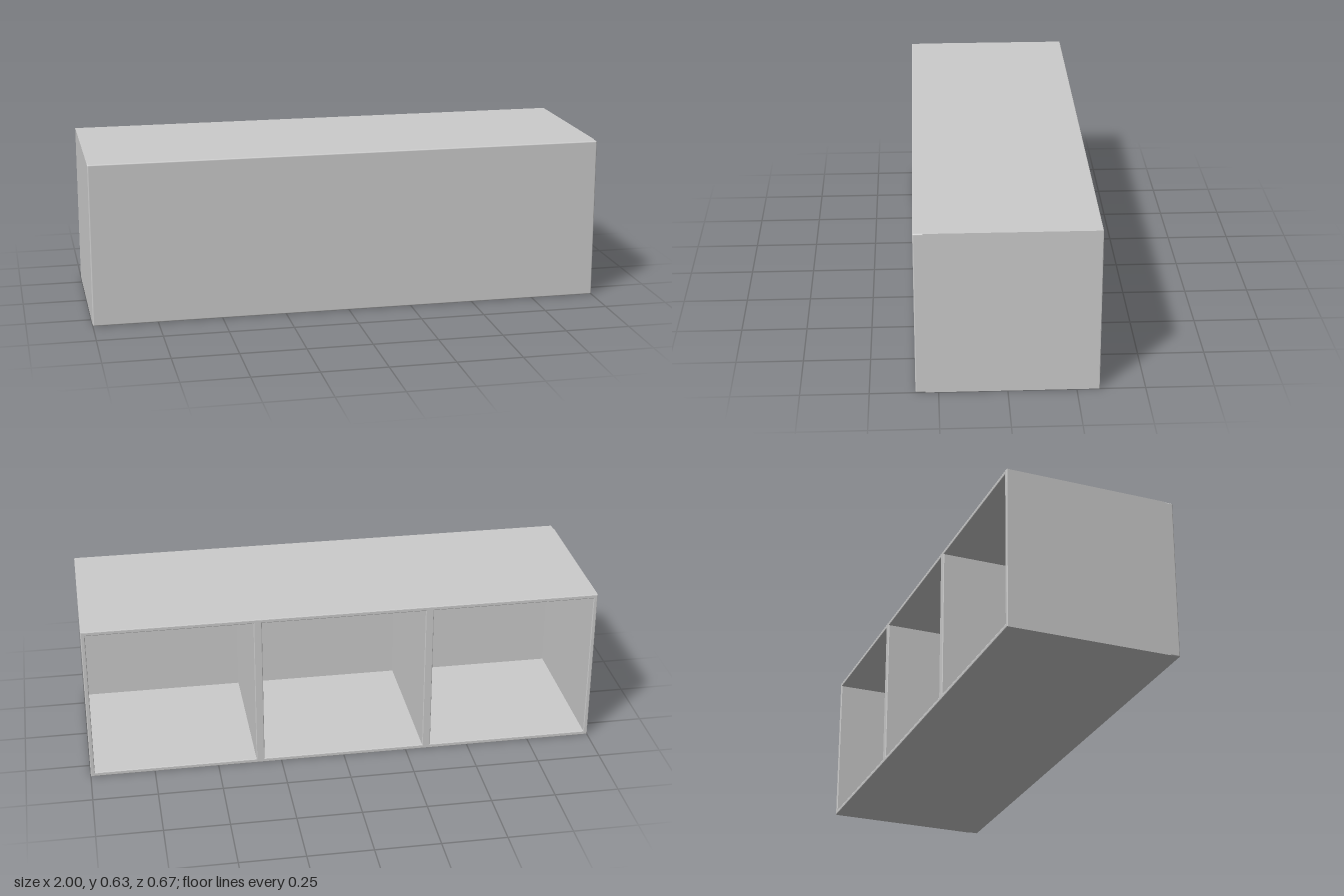
import * as THREE from 'three';
import { RoundedBoxGeometry } from 'three/addons/geometries/RoundedBoxGeometry.js';

const W = 2, H = 0.632, D = 0.667;   // overall size
const WALL = 0.016, PANEL = 0.044;   // board thicknesses
const BAYS = 3, EDGE = 0.005;        // compartments, edge rounding

const material = new THREE.MeshStandardMaterial({ color: 0xcccccc });

// Adds a rectangle to a shape or path
function rect(path, x0, y0, x1, y1) {
  path.moveTo(x0, y0);
  path.lineTo(x1, y0);
  path.lineTo(x1, y1);
  path.lineTo(x0, y1);
  path.closePath();
  return path;
}

export function createModel() {
  const group = new THREE.Group();
  group.name = 'cubbyCabinet';

  // Carcass: top, bottom, sides and double-thick dividers, open at the back
  const outline = rect(new THREE.Shape(), -W / 2, 0, W / 2, H);
  const bay = W / BAYS;
  for (let i = 0; i < BAYS; i++) {
    const x = -W / 2 + i * bay;
    outline.holes.push(rect(new THREE.Path(), x + WALL, WALL, x + bay - WALL, H - WALL));
  }
  const depth = D - PANEL + 2 * EDGE; // runs slightly into the front panel
  const bevel = 0.003;
  const carcassGeometry = new THREE.ExtrudeGeometry(outline, {
    depth: depth - 2 * bevel,
    bevelEnabled: true,
    bevelSize: bevel,
    bevelThickness: bevel,
    bevelOffset: -bevel,
    bevelSegments: 2,
  });
  carcassGeometry.translate(0, 0, -D / 2 + bevel);
  const carcass = new THREE.Mesh(carcassGeometry, material);
  carcass.name = 'carcass';
  group.add(carcass);

  // Closed front panel with softened edges
  const panel = new THREE.Mesh(new RoundedBoxGeometry(W, H, PANEL, 3, EDGE), material);
  panel.name = 'frontPanel';
  panel.position.set(0, H / 2, D / 2 - PANEL / 2);
  group.add(panel);

  return group;
}
